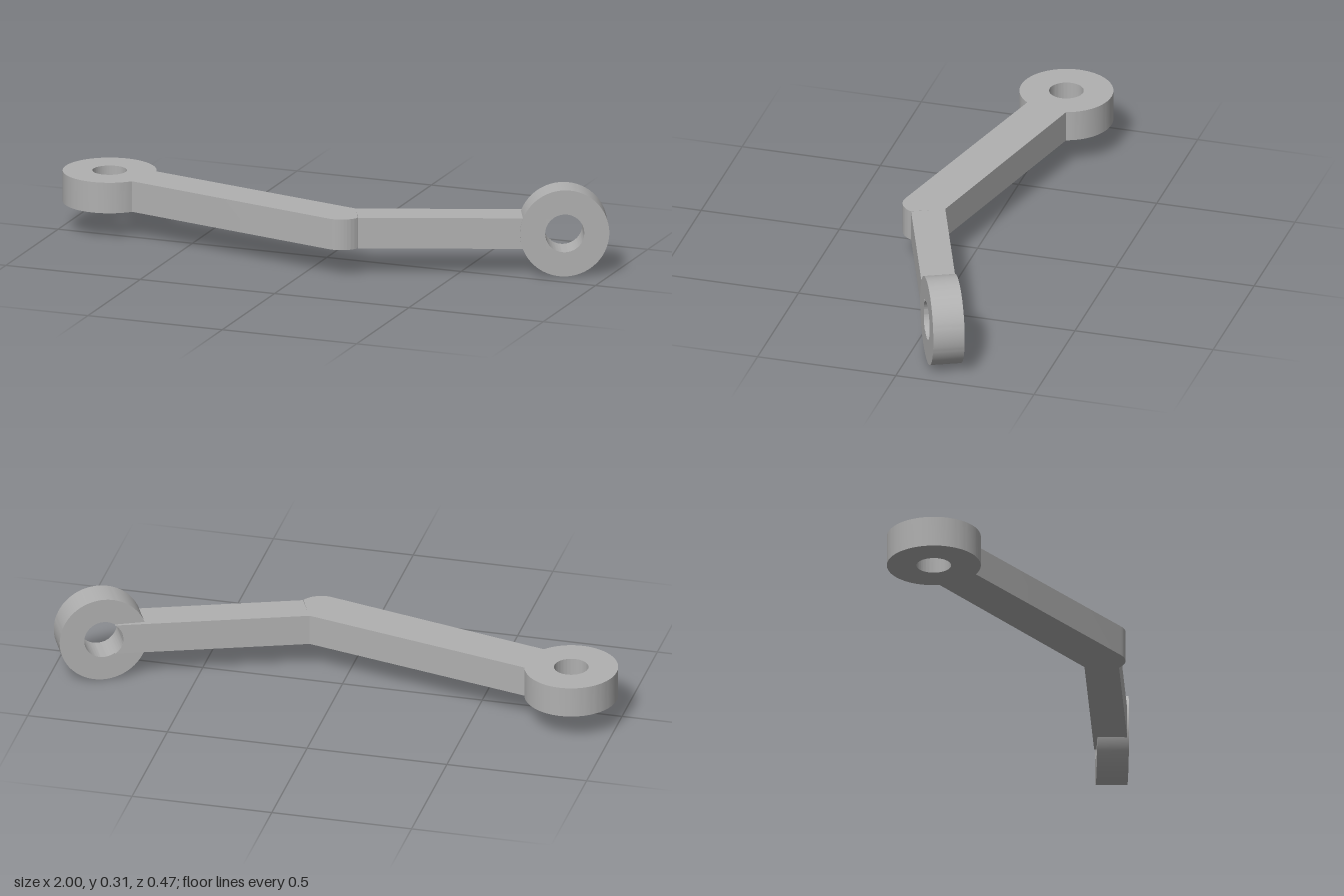
import * as THREE from 'three';
import { toCreasedNormals } from 'three/addons/utils/BufferGeometryUtils.js';

const BAR_BOTTOM = 0.1, BAR_TOP = 0.21, EYE_Y = 0.155;
const BORE = 0.068, EYE_DEPTH = 0.11;

function extrude(shape, depth) {
  return new THREE.ExtrudeGeometry(shape, { depth, bevelEnabled: false, curveSegments: 48 });
}

function circleHole(x, y, r) {
  return new THREE.Path().absarc(x, y, r, 0, Math.PI * 2, true);
}

export function createModel() {
  const metal = new THREE.MeshStandardMaterial({ color: 0xb0b0b0 });
  metal.name = 'grey metal';
  const model = new THREE.Group();
  model.name = 'bentLinkArm';

  function add(name, geometry, parent) {
    const mesh = new THREE.Mesh(toCreasedNormals(geometry, 0.5), metal);
    mesh.name = name;
    parent.add(mesh);
  }

  // Flat pivot ring, long arm and rounded elbow share one plan outline (x, z)
  const ring = { x: -0.837, z: -0.0735, r: 0.163 };
  const elbow = { x: 0.115, z: 0.155, r: 0.079 };
  const plan = new THREE.Shape();
  plan.absarc(ring.x, ring.z, ring.r, 0.7, Math.PI * 2 - 0.28, false);
  plan.lineTo(0.139, 0.077);
  plan.lineTo(0.187, 0.187);
  plan.absarc(elbow.x, elbow.z, elbow.r, 0.42, Math.PI / 2 + 0.235, false);
  plan.closePath();
  plan.holes.push(circleHole(ring.x, ring.z, 0.06));
  const arm = extrude(plan, BAR_TOP - BAR_BOTTOM);
  arm.rotateX(Math.PI / 2).translate(0, BAR_TOP, 0);
  add('longArmWithPivotRing', arm, model);

  // Upright eye and the short arm are built along the axis of the eye
  const eyeEnd = new THREE.Group();
  eyeEnd.name = 'eyeEnd';
  eyeEnd.position.set(0.835, EYE_Y, -0.12);
  eyeEnd.rotation.y = THREE.MathUtils.degToRad(25);
  model.add(eyeEnd);

  const eye = new THREE.Shape().absarc(0, 0, 0.155, 0, Math.PI * 2, false);
  eye.holes.push(circleHole(0, 0, BORE));
  add('uprightEye', extrude(eye, EYE_DEPTH).translate(0, 0, -EYE_DEPTH / 2), eyeEnd);

  // Short arm, its end cut by the bore, sheared to meet the eye at a slight angle
  const half = (BAR_TOP - BAR_BOTTOM) / 2;
  const start = -0.715;
  const cut = Math.asin(half / BORE);
  const side = new THREE.Shape();
  side.moveTo(start, half);
  side.lineTo(start, -half);
  side.absarc(0, 0, BORE, Math.PI + cut, Math.PI - cut, true);
  side.closePath();
  const shortArm = extrude(side, 0.12).translate(0, 0, -0.117);
  const p = shortArm.attributes.position;
  for (let i = 0; i < p.count; i++) p.setZ(i, p.getZ(i) + 0.08 * (p.getX(i) - start));
  add('shortArm', shortArm, eyeEnd);

  return model;
}
